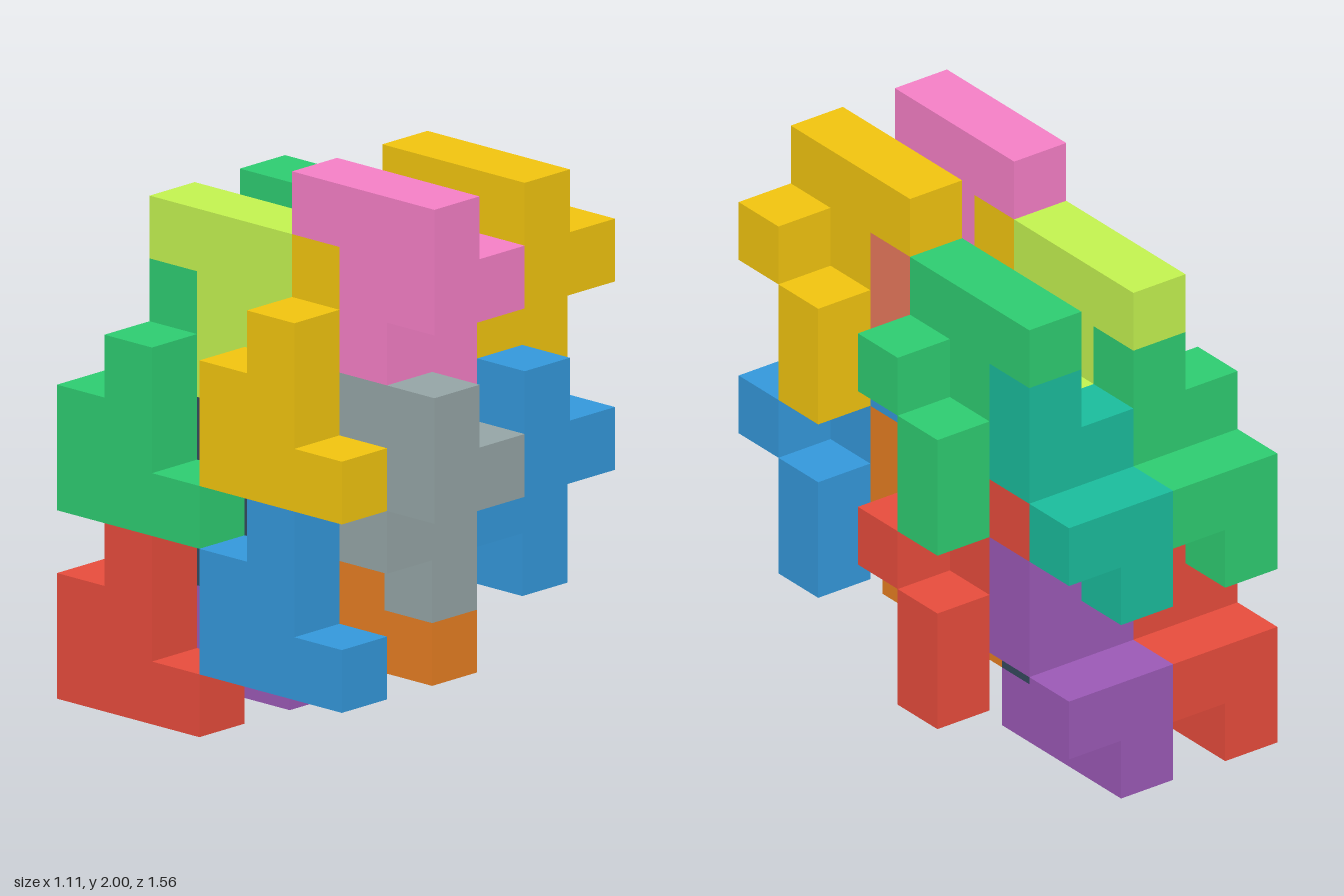
import * as THREE from 'three';

const UNIT = 2 / 9; // edge of one cube cell

// Stepped plate, one cell thick: outline in (z, y), extruded along x
function plateGeometry() {
  const outline = [[0, 0], [3, 0], [3, 1], [2, 1], [2, 3], [1, 3], [1, 2], [0, 2]];
  const shape = new THREE.Shape(outline.map(([z, y]) => new THREE.Vector2(z, y)));
  return new THREE.ExtrudeGeometry(shape, { depth: 1, bevelEnabled: false })
    .rotateY(-Math.PI / 2)
    .translate(1, 0, 0);
}

const plate = plateGeometry();
// Single-cell tab and two-cell post on the plate's side
const tab = new THREE.BoxGeometry(1, 1, 1).translate(1.5, 1.5, 0.5);
const post = new THREE.BoxGeometry(1, 2, 1).translate(1.5, 3, 1.5);

function makePiece(name, color) {
  const piece = new THREE.Group();
  piece.name = name;
  const material = new THREE.MeshStandardMaterial({ color });
  for (const [part, geometry] of Object.entries({ plate, tab, post })) {
    const mesh = new THREE.Mesh(geometry, material);
    mesh.name = part;
    piece.add(mesh);
  }
  return piece;
}

const RED = 0xe74c3c, BLUE = 0x3498db, GREEN = 0x2ecc71, GOLD = 0xf1c40f;
const PURPLE = 0x9b59b6, ORANGE = 0xe67e22, TEAL = 0x1abc9c, GREY = 0x95a5a6;
const SLATE = 0x34495e, LIME = 0xc3f250, SALMON = 0xe8795d, PINK = 0xf57fc6;

// Each slot: name, first cell of the long bar (x, y, z), inverted?, lower and upper colour
const SLOTS = [
  ['backRightUpright', 0, 0, 0, false, RED, GREEN],
  ['backLeftUpright', 2, 0, 0, false, PURPLE, TEAL],
  ['frontRightUpright', 0, 1, 3, false, BLUE, GOLD],
  ['frontLeftUpright', 2, 1, 3, false, ORANGE, SALMON],
  ['backRightInverted', 1, 4, 1, true, SLATE, LIME],
  ['backLeftInverted', 3, 4, 1, true, RED, GREEN],
  ['frontRightInverted', 1, 5, 4, true, GREY, PINK],
  ['frontLeftInverted', 3, 5, 4, true, BLUE, GOLD],
];

export function createModel() {
  const model = new THREE.Group();
  model.name = 'interlockingBlocks';

  // Two identical layers, three cells apart
  ['lower', 'upper'].forEach((level, i) => {
    const layer = new THREE.Group();
    layer.name = `${level}Layer`;
    layer.scale.setScalar(UNIT);
    layer.position.set(-2.5 * UNIT, 3 * i * UNIT, -3.5 * UNIT);
    for (const [name, x, y, z, inverted, ...colors] of SLOTS) {
      const piece = makePiece(name, colors[i]);
      piece.position.set(x, y, z);
      if (inverted) {
        // Half turn about x, keeping the bar in its cells
        piece.rotation.x = Math.PI;
        piece.position.set(x, y + 1, z + 3);
      }
      layer.add(piece);
    }
    model.add(layer);
  });
  return model;
}
